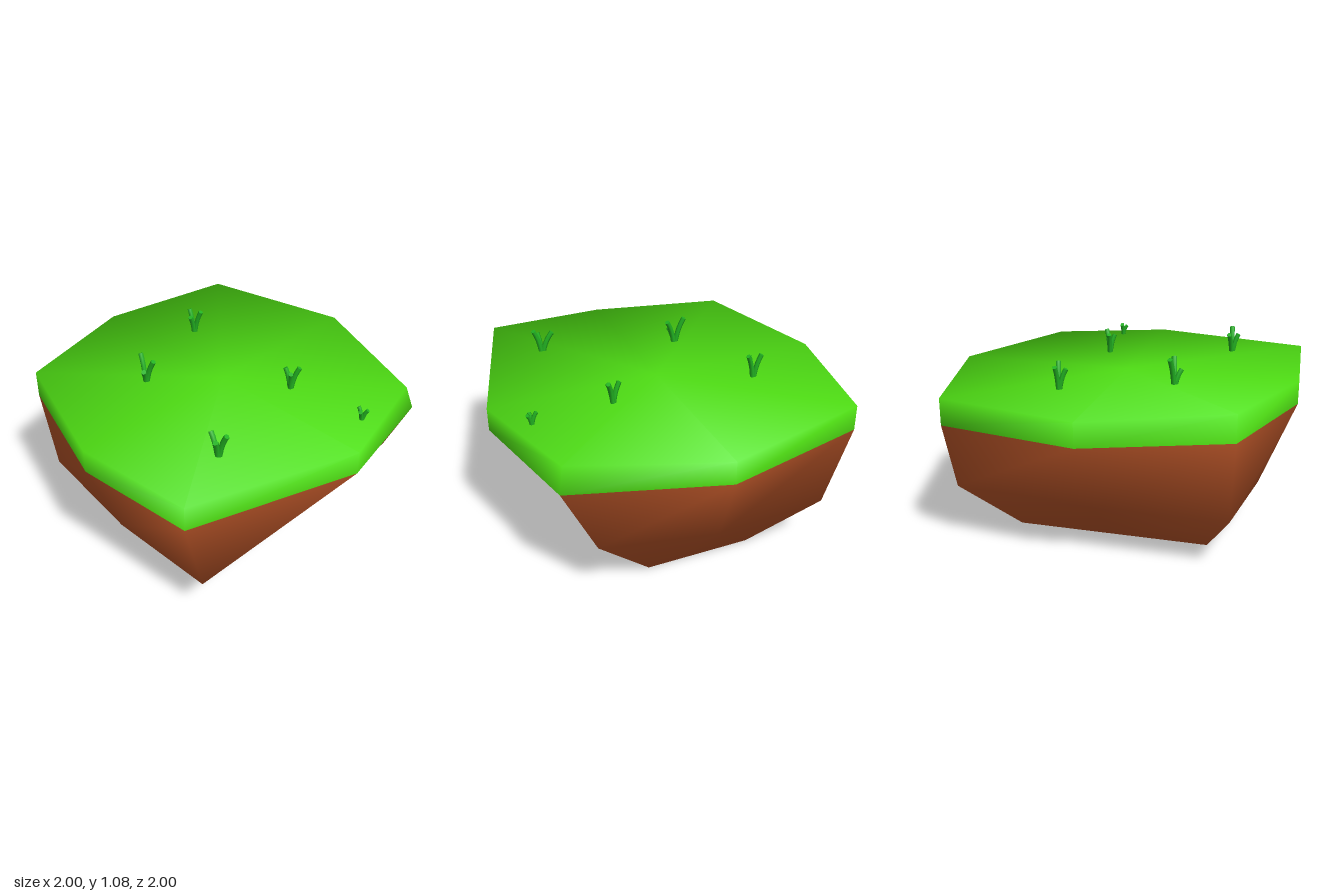
import * as THREE from 'three';

const grassMat = new THREE.MeshStandardMaterial({ color: 0x4fdf14 });
const dirtMat = new THREE.MeshStandardMaterial({ color: 0xc85c2c });
const bladeMat = new THREE.MeshStandardMaterial({ color: 0x22b422, side: THREE.DoubleSide });

// Closed loft through rings listed from bottom to top, each going back, right, front, left.
// Soft normals point away from the centre, scaled by the half sizes.
function loft(rings, centreY, half, capBottom, capTop) {
  const n = rings[0].length;
  const points = rings.flat();
  const index = [];
  for (let r = 0; r < rings.length - 1; r++) {
    for (let i = 0; i < n; i++) {
      const j = (i + 1) % n;
      const a = r * n, b = a + n;
      index.push(a + j, a + i, b + i, a + j, b + i, b + j);
    }
  }
  const low = points.push([0, capBottom, 0]) - 1;
  const high = points.push([0, capTop, 0]) - 1;
  const last = (rings.length - 1) * n;
  for (let i = 0; i < n; i++) {
    const j = (i + 1) % n;
    index.push(low, i, j, high, last + j, last + i);
  }
  const normals = points.flatMap(([x, y, z]) =>
    new THREE.Vector3(x / half[0], (y - centreY) / half[1], z / half[2]).normalize().toArray());
  const geo = new THREE.BufferGeometry();
  geo.setAttribute('position', new THREE.Float32BufferAttribute(points.flat(), 3));
  geo.setAttribute('normal', new THREE.Float32BufferAttribute(normals, 3));
  geo.setIndex(index);
  return geo;
}

// One bent blade from the tuft's root to a leaning tip, with a blunt end
function makeBlade([dx, h, dz], radius) {
  const tip = new THREE.Vector3(dx, h, dz);
  const curve = new THREE.QuadraticBezierCurve3(
    new THREE.Vector3(dx * 0.1, -0.01, dz * 0.1),
    new THREE.Vector3(dx * 0.3, h * 0.55, dz * 0.3), tip);
  const blade = new THREE.Group();
  blade.name = 'grassBlade';
  const stem = new THREE.Mesh(new THREE.TubeGeometry(curve, 5, radius, 6), bladeMat);
  stem.name = 'bladeStem';
  const end = new THREE.Mesh(new THREE.CircleGeometry(radius, 6), bladeMat);
  end.name = 'bladeEnd';
  end.position.copy(tip);
  end.quaternion.setFromUnitVectors(new THREE.Vector3(0, 0, 1), curve.getTangent(1));
  blade.add(stem, end);
  return blade;
}

export function createModel() {
  const model = new THREE.Group();
  model.name = 'grassIsland';

  // Shared rim between soil and turf
  const rim = [
    [0, 0.78, -1], [0.785, 0.775, -0.845], [1, 0.78, 0], [0.72, 0.765, 0.83],
    [0, 0.78, 1], [-0.95, 0.797, 0.71], [-1, 0.78, 0], [-0.765, 0.79, -0.75],
  ];

  // Soil: flat rectangular foot, wider waist, then the rim
  const foot = [
    [0, 0, -0.335], [0.56, 0, -0.335], [0.56, 0, -0.02], [0.56, 0, 0.29],
    [0, 0, 0.29], [-0.565, 0, 0.29], [-0.565, 0, -0.02], [-0.565, 0, -0.335],
  ];
  const waist = [
    [0, 0.32, -0.68], [0.8, 0.355, -0.67], [0.845, 0.355, 0], [0.74, 0.39, 0.65],
    [0, 0.33, 0.66], [-0.79, 0.28, 0.655], [-0.8, 0.28, 0], [-0.735, 0.32, -0.68],
  ];
  const soil = new THREE.Mesh(loft([foot, waist, rim], 1.1, [0.85, 0.8, 0.8], 0, 0.78), dirtMat);
  soil.name = 'soil';
  model.add(soil);

  // Turf slab with a slightly uneven top
  const topY = [0.915, 0.925, 0.915, 0.905, 0.915, 0.935, 0.915, 0.945];
  const top = rim.map(([x, , z], i) => (i === 3 ? [0.68, topY[i], 0.8] : [x, topY[i], z]));
  const turf = new THREE.Mesh(loft([rim, top], 0.78, [1, 0.135, 1], 0.78, 0.913), grassMat);
  turf.name = 'turf';
  model.add(turf);

  // Tufts: position, blade radius, and the tip offset of each blade
  const tufts = [
    { at: [0.245, -0.5], r: 0.014, tips: [[0.005, 0.13, -0.045], [-0.04, 0.11, 0.01], [0.015, 0.14, 0.045]] },
    { at: [-0.345, -0.27], r: 0.015, tips: [[0.015, 0.155, -0.055], [-0.035, 0.085, 0.025], [0.015, 0.145, 0.055]] },
    { at: [0.2, 0.345], r: 0.014, tips: [[-0.005, 0.11, -0.04], [-0.025, 0.1, 0.02], [0.03, 0.125, 0.035]] },
    { at: [-0.54, 0.52], r: 0.015, tips: [[0.01, 0.12, -0.065], [-0.035, 0.11, 0.015], [0.01, 0.145, 0.05]] },
    { at: [0.245, 0.82], r: 0.011, tips: [[0.002, 0.06, -0.028], [-0.025, 0.05, 0.005], [0.013, 0.055, 0.025]] },
  ];
  for (const { at, r, tips } of tufts) {
    const tuft = new THREE.Group();
    tuft.name = 'grassTuft';
    tuft.position.set(at[0], 0.92, at[1]);
    for (const tip of tips) tuft.add(makeBlade(tip, r));
    model.add(tuft);
  }
  return model;
}
